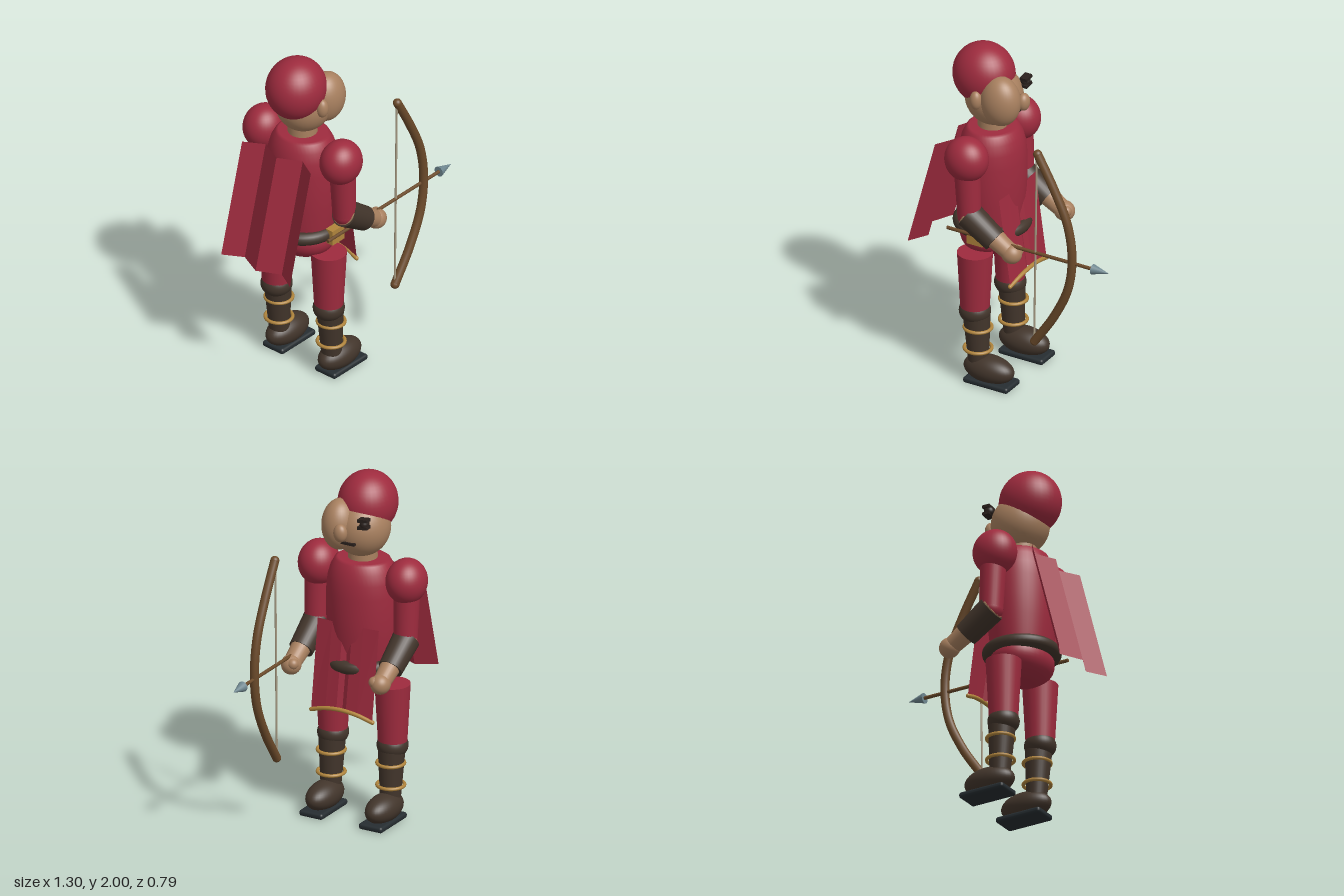
import * as THREE from 'three';
import { RoundedBoxGeometry } from 'three/addons/geometries/RoundedBoxGeometry.js';

const mat = (name, color, side = THREE.FrontSide) => {
  const m = new THREE.MeshStandardMaterial({ color, side });
  m.name = name;
  return m;
};

export function createModel() {
  const red = mat('red cloth', 0x9e2b3e, THREE.DoubleSide);
  const skin = mat('skin', 0xa8805f);
  const leather = mat('dark leather', 0x42352b);
  const wood = mat('wood', 0x6b4a2a);
  const gold = mat('gold', 0xb0843c);
  const steel = mat('steel', 0x6f8790);
  const soleMat = mat('sole', 0x262d31);
  const cord = mat('cord', 0xa89c84);
  const dark = mat('eye dark', 0x2a211d);

  const model = new THREE.Group();
  model.name = 'archer';
  const V = (x, y, z) => new THREE.Vector3(x, y, z);

  const add = (parent, name, geo, material, x = 0, y = 0, z = 0) => {
    const m = new THREE.Mesh(geo, material);
    m.name = name;
    m.position.set(x, y, z);
    parent.add(m);
    return m;
  };
  const ball = (parent, name, material, x, y, z, rx, ry = rx, rz = rx) => {
    const m = add(parent, name, new THREE.SphereGeometry(1, 36, 24), material, x, y, z);
    m.scale.set(rx, ry, rz);
    return m;
  };
  // tapered rod running from a (radius ra) to b (radius rb)
  const rod = (parent, name, material, a, b, ra, rb = ra, seg = 28) => {
    const dir = b.clone().sub(a);
    const m = add(parent, name, new THREE.CylinderGeometry(rb, ra, dir.length(), seg), material);
    m.position.copy(a).addScaledVector(dir, 0.5);
    m.quaternion.setFromUnitVectors(V(0, 1, 0), dir.normalize());
    return m;
  };
  const tube = (parent, name, material, pts, r, n = 48) => {
    const curve = new THREE.CatmullRomCurve3(pts);
    const m = add(parent, name, new THREE.TubeGeometry(curve, n, r, 14), material);
    [pts[0], pts[pts.length - 1]].forEach((p) => ball(parent, name + 'End', material, p.x, p.y, p.z, r));
    return m;
  };
  // pleated sheet: folds are [z, xOffset], hung between a top and a bottom line
  const sheet = (name, folds, top, bottom, lift = () => 0) => {
    const pos = [];
    for (let i = 0; i < folds.length - 1; i++) {
      const [a, b] = [folds[i], folds[i + 1]];
      const p = (f, e, l) => [e[0] + f[1], e[1] + l * lift(f[0]), f[0]];
      const [ta, tb, ba, bb] = [p(a, top, 0), p(b, top, 0), p(a, bottom, 1), p(b, bottom, 1)];
      pos.push(...ta, ...ba, ...bb, ...ta, ...bb, ...tb);
    }
    const g = new THREE.BufferGeometry();
    g.setAttribute('position', new THREE.Float32BufferAttribute(pos, 3));
    g.computeVertexNormals();
    return add(model, name, g, red);
  };

  // head
  const head = new THREE.Group();
  head.name = 'head';
  model.add(head);
  ball(head, 'skull', skin, -0.25, 1.7, 0, 0.165, 0.17, 0.16);
  ball(head, 'cap', red, -0.315, 1.82, 0, 0.178, 0.18, 0.165);
  ball(head, 'cheek', skin, -0.16, 1.725, 0.085, 0.118, 0.148, 0.1);
  ball(head, 'ear', skin, -0.275, 1.73, 0.155, 0.035, 0.056, 0.035);
  ball(head, 'nose', skin, -0.05, 1.72, 0.02, 0.035, 0.052, 0.04);
  ball(head, 'eye', dark, -0.11, 1.778, -0.1, 0.03, 0.03, 0.026);
  for (const dy of [-0.018, 0.024]) {
    add(head, 'eyelid', new THREE.BoxGeometry(0.045, 0.018, 0.06), dark, -0.105, 1.778 + dy, -0.098).rotation.x = 0.12;
  }
  add(head, 'mouth', new THREE.BoxGeometry(0.03, 0.014, 0.09), dark, -0.095, 1.65, -0.005);
  rod(head, 'neck', skin, V(-0.26, 1.46, 0), V(-0.26, 1.6, 0), 0.085, 0.08);

  // torso, hips and belt
  const profile = [[0, 0.84], [0.84, 0.84], [0.9, 0.95], [0.98, 1.08], [1, 1.2], [1, 1.32],
    [0.96, 1.4], [0.88, 1.46], [0.76, 1.505], [0.68, 1.515], [0, 1.515]];
  const torso = add(model, 'torso', new THREE.LatheGeometry(profile.map((p) => new THREE.Vector2(...p)), 48), red, -0.26);
  torso.scale.set(0.187, 1, 0.208);
  ball(model, 'hips', red, -0.265, 0.86, 0, 0.167, 0.13, 0.2);
  const belt = add(model, 'belt', new THREE.TorusGeometry(0.182, 0.038, 18, 56), leather, -0.26, 0.918, 0);
  belt.rotation.x = Math.PI / 2;
  add(model, 'buckle', new THREE.BoxGeometry(0.1, 0.09, 0.05), gold, -0.235, 0.915, 0.215);

  // back cape
  sheet('cape', [[-0.25, -0.035], [-0.135, 0.03], [0, -0.035], [0.135, 0.03], [0.25, -0.035]],
    [-0.445, 1.44], [-0.62, 0.785]);

  // front tabard with trimmed hem
  const hem = (z) => 0.04 * (1 - (z / 0.195) ** 2);
  sheet('tabard', [[-0.195, -0.003], [-0.1, 0.003], [-0.03, 0.003], [0, -0.012], [0.03, 0.003], [0.1, 0.003], [0.195, -0.003]],
    [-0.1, 1.165], [-0.028, 0.645], hem);
  tube(model, 'tabardTrim', gold,
    [-0.195, -0.1, 0, 0.1, 0.195].map((z) => V(-0.033 + hem(z) * 0.4, 0.645 + hem(z), z)), 0.012);

  for (const s of [1, -1]) {
    const side = s > 0 ? 'right' : 'left';

    // arm
    const arm = new THREE.Group();
    arm.name = side + 'Arm';
    model.add(arm);
    const z = 0.285 * s;
    ball(arm, 'shoulder', red, -0.26, 1.425, 0.28 * s, 0.127, 0.13, 0.114);
    rod(arm, 'sleeve', red, V(-0.255, 1.4, z), V(-0.24, 1.08, z), 0.075, 0.066);
    ball(arm, 'elbow', red, -0.24, 1.08, z, 0.066);
    rod(arm, 'forearmSkin', skin, V(-0.25, 1.09, z), V(0.02, 0.92, z), 0.07, 0.05);
    rod(arm, 'cuff', leather, V(-0.243, 1.085, z), V(-0.075, 0.968, z), 0.079, 0.07);
    ball(arm, 'hand', skin, 0.03, 0.915, z, 0.06, 0.058, 0.056);
    ball(arm, 'thumb', skin, 0.055, 0.93, z - 0.025 * s, 0.032);

    // leg and boot
    const leg = new THREE.Group();
    leg.name = side + 'Leg';
    leg.position.z = 0.19 * s;
    model.add(leg);
    rod(leg, 'thigh', red, V(-0.26, 0.43, 0), V(-0.26, 0.8, 0), 0.08, 0.1);
    ball(leg, 'knee', leather, -0.26, 0.435, 0, 0.09, 0.075, 0.088);
    rod(leg, 'shin', leather, V(-0.235, 0.1, 0), V(-0.25, 0.42, 0), 0.056, 0.077);
    for (const y of [0.335, 0.205]) {
      add(leg, 'bootRing', new THREE.TorusGeometry(0.076, 0.01, 10, 36), gold, -0.24, y, 0).rotation.x = Math.PI / 2;
    }
    ball(leg, 'foot', leather, -0.17, 0.092, 0, 0.155, 0.08, 0.085);
    add(leg, 'sole', new RoundedBoxGeometry(0.285, 0.035, 0.15, 3, 0.015), soleMat, -0.155, 0.02, 0);
  }

  // bow and arrow
  const bow = new THREE.Group();
  bow.name = 'bowAndArrow';
  bow.position.z = 0.29;
  model.add(bow);
  const limb = [[0.2, 1.59], [0.308, 1.39], [0.39, 1.2], [0.42, 1], [0.395, 0.8], [0.305, 0.6], [0.18, 0.41]];
  tube(bow, 'bowLimb', wood, limb.map(([x, y]) => V(x, y, 0)), 0.025, 64);
  rod(bow, 'bowString', cord, V(0.195, 1.59, 0), V(0.178, 0.41, 0), 0.006, 0.006, 8);
  rod(bow, 'arrowShaft', wood, V(-0.38, 0.965, -0.003), V(0.56, 0.965, -0.003), 0.01, 0.01, 12);
  rod(bow, 'arrowHead', steel, V(0.55, 0.965, -0.003), V(0.65, 0.965, -0.003), 0.03, 0.001, 20);

  return model;
}
